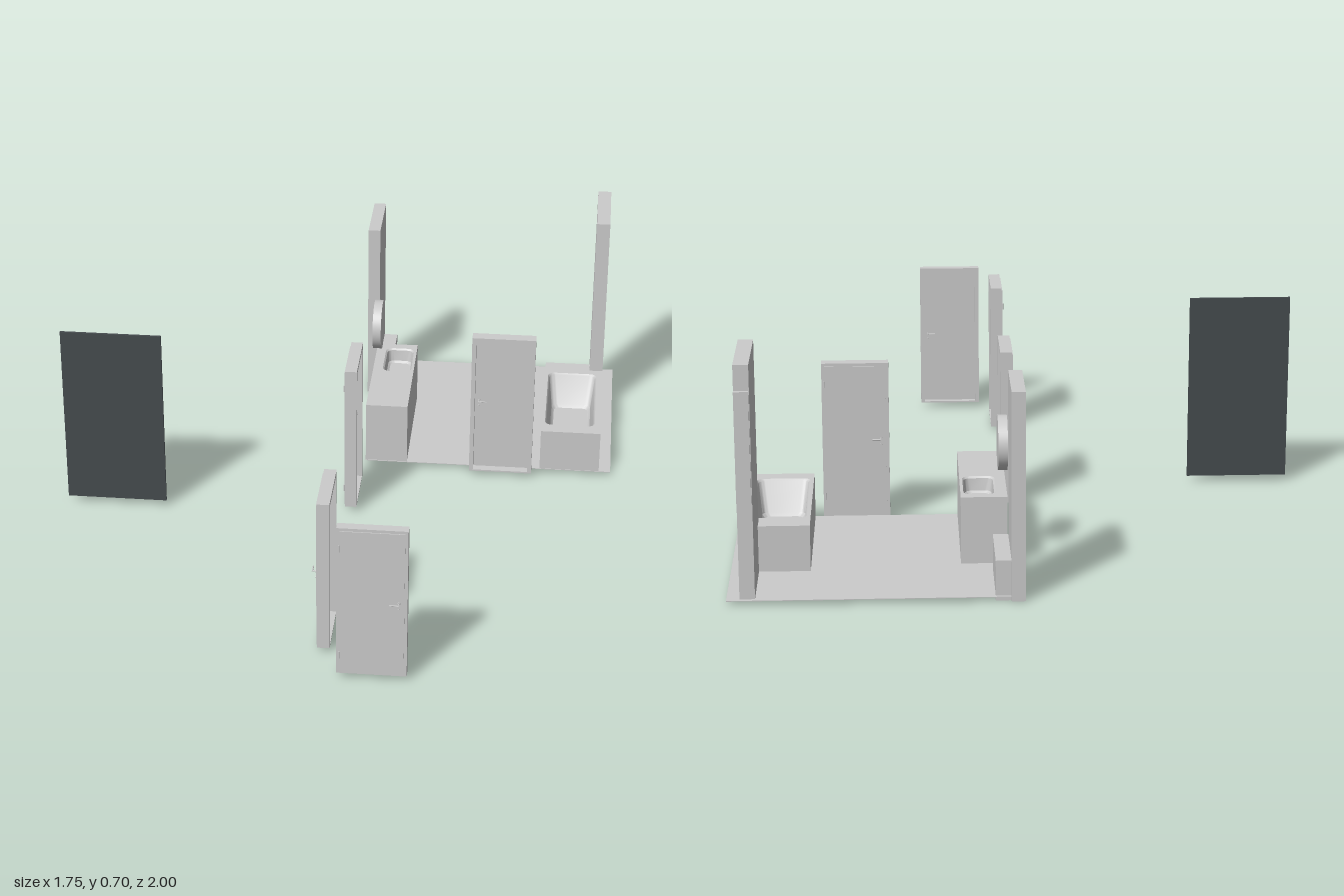
import * as THREE from 'three';
import { toCreasedNormals } from 'three/addons/utils/BufferGeometryUtils.js';

const grey = new THREE.MeshStandardMaterial({ color: 0xcccccc });
const greyDouble = new THREE.MeshStandardMaterial({ color: 0xcccccc, side: THREE.DoubleSide });
const dark = new THREE.MeshStandardMaterial({ color: 0x454b4e });

function add(parent, name, geometry, material = grey) {
  const mesh = new THREE.Mesh(geometry, material);
  mesh.name = name;
  parent.add(mesh);
  return mesh;
}

// Box given by its lower and upper limits on each axis
function box(parent, name, [x0, x1], [y0, y1], [z0, z1], material) {
  const mesh = add(parent, name, new THREE.BoxGeometry(x1 - x0, y1 - y0, z1 - z0), material);
  mesh.position.set((x0 + x1) / 2, (y0 + y1) / 2, (z0 + z1) / 2);
  return mesh;
}

// Points around a rounded rectangle
function roundedRing([x0, x1], [z0, z1], r, steps = 6) {
  const points = [];
  const corners = [[x1 - r, z1 - r], [x0 + r, z1 - r], [x0 + r, z0 + r], [x1 - r, z0 + r]];
  corners.forEach(([cx, cz], c) => {
    for (let i = 0; i <= steps; i++) {
      const a = (c + i / steps) * Math.PI / 2;
      points.push(new THREE.Vector2(cx + r * Math.cos(a), cz + r * Math.sin(a)));
    }
  });
  return points;
}

// Bowl surface lofted through rings from rim to bottom
function basinGeometry(levels) {
  const positions = [], index = [];
  const rings = levels.map(l => roundedRing(l.x, l.z, l.r));
  const n = rings[0].length;
  rings.forEach((ring, k) => ring.forEach(p => positions.push(p.x, levels[k].y, p.y)));
  for (let k = 0; k < rings.length - 1; k++) {
    for (let i = 0; i < n; i++) {
      const a = k * n + i, b = k * n + (i + 1) % n;
      index.push(a, b, a + n, b, b + n, a + n);
    }
  }
  const last = levels[levels.length - 1], base = (rings.length - 1) * n;
  positions.push((last.x[0] + last.x[1]) / 2, last.y, (last.z[0] + last.z[1]) / 2);
  for (let i = 0; i < n; i++) index.push(base + i, base + (i + 1) % n, rings.length * n);
  const g = new THREE.BufferGeometry();
  g.setAttribute('position', new THREE.Float32BufferAttribute(positions, 3));
  g.setIndex(index);
  g.computeVertexNormals();
  return toCreasedNormals(g, 0.6);
}

// Solid block with a basin sunk in its top
function basinBlock(parent, name, x, z, y, levels) {
  const group = new THREE.Group();
  group.name = name;
  parent.add(group);
  const shape = new THREE.Shape([[x[0], -z[1]], [x[1], -z[1]], [x[1], -z[0]], [x[0], -z[0]]]
    .map(p => new THREE.Vector2(...p)));
  const rim = levels[0];
  shape.holes.push(new THREE.Path(roundedRing(rim.x, rim.z, rim.r).map(p => new THREE.Vector2(p.x, -p.y))));
  const block = new THREE.ExtrudeGeometry(shape, { depth: y[1] - y[0], bevelEnabled: false });
  block.rotateX(-Math.PI / 2).translate(0, y[0], 0);
  add(group, name + 'Block', block);
  add(group, name + 'Basin', basinGeometry(levels), greyDouble);
}

// Door facing +z with its front at z = 0; side is +1 or -1 for the handle edge
function door(name, x, z, turn, side, depth) {
  const group = new THREE.Group();
  group.name = name;
  const w = 0.1025, t = 0.013, y0 = 0.015, y1 = 0.505;
  const frame = new THREE.Shape();
  frame.moveTo(-w, y0).lineTo(w, y0).lineTo(w, y1).lineTo(-w, y1).closePath();
  const hole = new THREE.Path();
  hole.moveTo(-w + t, y0 + 0.005).lineTo(-w + t, y1 - t).lineTo(w - t, y1 - t).lineTo(w - t, y0 + 0.005).closePath();
  frame.holes.push(hole);
  const frameGeometry = new THREE.ExtrudeGeometry(frame, { depth: depth - 0.003, bevelEnabled: false });
  add(group, 'doorFrame', frameGeometry).position.z = -depth;
  box(group, 'doorLeaf', [-w + t - 0.004, w - t + 0.004], [y0 + 0.004, y1 - t + 0.004], [-0.012, 0]);

  // Lever handle and lock on both faces
  for (const [face, dir] of [[0, 1], [-0.012, -1]]) {
    const handle = new THREE.Group();
    handle.name = 'handle';
    handle.position.set(side * 0.077, 0.265, face);
    const rose = add(handle, 'handleRose', new THREE.CylinderGeometry(0.005, 0.005, 0.003, 16));
    const stem = add(handle, 'handleStem', new THREE.CylinderGeometry(0.002, 0.002, 0.014, 12));
    const lever = add(handle, 'handleLever', new THREE.CylinderGeometry(0.002, 0.002, 0.028, 12));
    const lock = add(handle, 'lock', new THREE.CylinderGeometry(0.004, 0.004, 0.003, 16));
    for (const part of [rose, stem, lock]) part.rotation.x = Math.PI / 2;
    rose.position.z = dir * 0.0015;
    stem.position.z = dir * 0.007;
    lever.rotation.z = Math.PI / 2;
    lever.position.set(-side * 0.012, 0, dir * 0.0125);
    lock.position.set(0, -0.02, dir * 0.0015);
    group.add(handle);
  }

  // Hinges on the opposite edge
  for (const y of [0.08, 0.44]) {
    add(group, 'hinge', new THREE.CylinderGeometry(0.002, 0.002, 0.022, 10))
      .position.set(-side * (w - t + 0.005), y, 0.001);
  }
  group.position.set(x, 0, z);
  group.rotation.y = turn;
  return group;
}

export function createModel() {
  const model = new THREE.Group();
  model.name = 'bathroomParts';

  box(model, 'floor', [0.06, 0.87], [0.013, 0.015], [-1, -0.27]);

  // Left wall column with a low block beside it
  box(model, 'leftColumn', [0.02, 0.06], [0, 0.62], [-1, -0.775]);
  box(model, 'lowBlock', [0.06, 0.105], [0, 0.12], [-0.99, -0.763]);

  // Right wall with a window recess open on its outer face
  const wall = new THREE.Group();
  wall.name = 'rightWall';
  model.add(wall);
  const outer = [0.8, 0.832], back = -0.988;
  box(wall, 'wallInnerFace', [0.788, 0.8], [0.015, 0.705], [back, -0.717]);
  box(wall, 'wallBelowWindow', outer, [0.015, 0.315], [back, -0.717]);
  box(wall, 'wallAboveWindow', outer, [0.628, 0.705], [back, -0.717]);
  box(wall, 'wallBesideWindow', outer, [0.315, 0.628], [-0.757, -0.717]);
  box(wall, 'windowJamb', [0.79, 0.832], [0.305, 0.63], [-1, back]);

  basinBlock(model, 'bathtub', [0.637, 0.832], [-0.763, -0.272], [0.015, 0.155], [
    { y: 0.155, x: [0.648, 0.812], z: [-0.69, -0.32], r: 0.022 },
    { y: 0.149, x: [0.653, 0.807], z: [-0.686, -0.326], r: 0.02 },
    { y: 0.058, x: [0.664, 0.796], z: [-0.648, -0.355], r: 0.02 },
    { y: 0.048, x: [0.673, 0.787], z: [-0.638, -0.365], r: 0.018 },
  ]);

  basinBlock(model, 'vanity', [0.06, 0.197], [-0.72, -0.273], [0.015, 0.22], [
    { y: 0.22, x: [0.092, 0.188], z: [-0.69, -0.522], r: 0.022 },
    { y: 0.215, x: [0.097, 0.184], z: [-0.685, -0.527], r: 0.02 },
    { y: 0.178, x: [0.101, 0.18], z: [-0.68, -0.532], r: 0.02 },
    { y: 0.172, x: [0.108, 0.173], z: [-0.673, -0.539], r: 0.016 },
  ]);

  const mirror = add(model, 'roundMirror', new THREE.CylinderGeometry(0.082, 0.082, 0.028, 48));
  mirror.rotation.z = Math.PI / 2;
  mirror.position.set(0.071, 0.352, -0.607);

  model.add(
    door('frontDoor', 0.194, 0.986, 0, 1, 0.032),
    door('leftFrontDoor', 0.019, 0.757, -Math.PI / 2, 1, 0.04),
    door('leftRearDoor', 0.019, -0.063, -Math.PI / 2, -1, 0.04),
    door('roomDoor', 0.508, -0.273, Math.PI, 1, 0.04),
  );

  box(model, 'darkPanel', [-0.875, -0.555], [0.02, 0.613], [0.062, 0.07], dark);
  return model;
}
